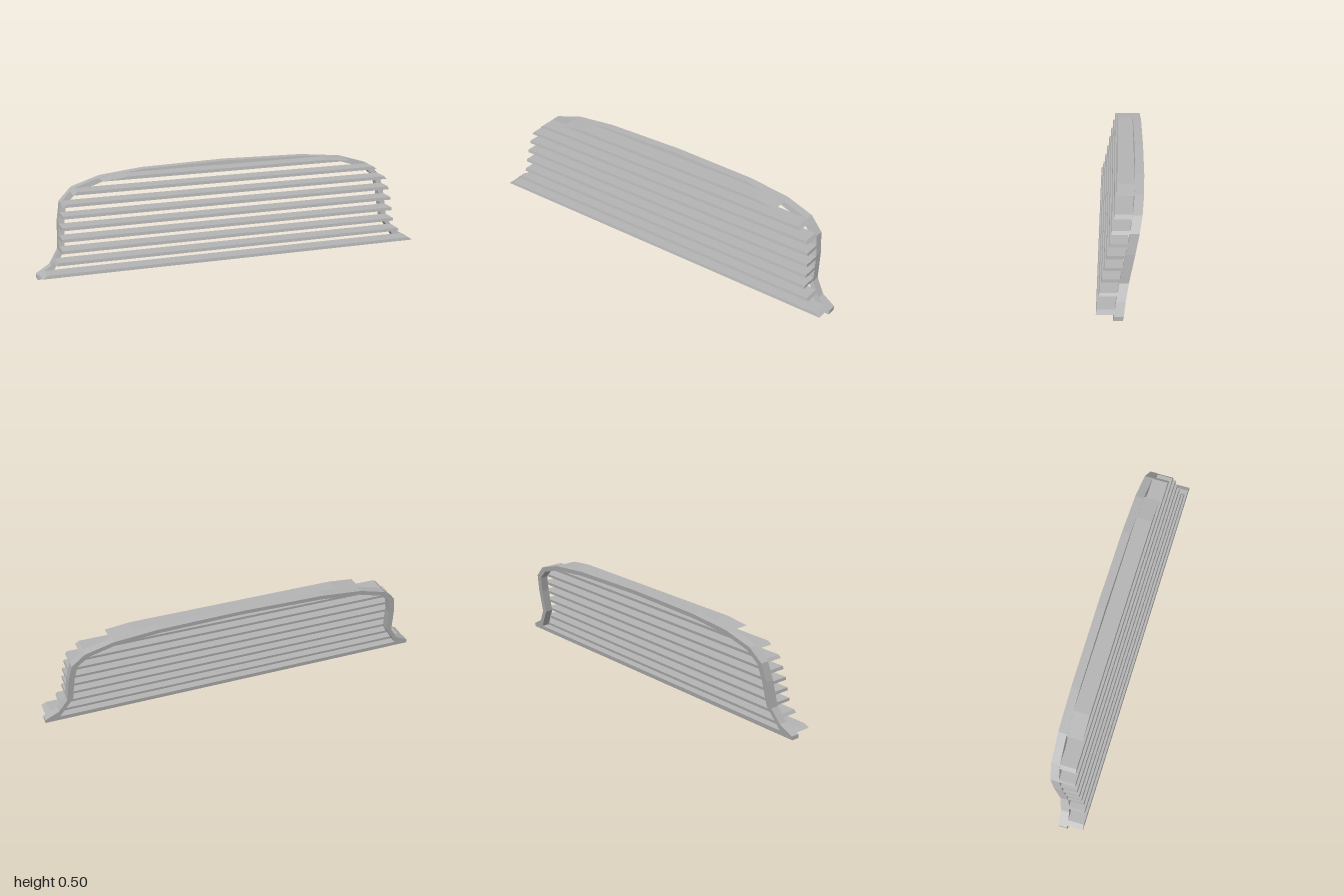
import * as THREE from 'three';

// Right half of the frame, bottom to top
const OUTER = [[1, 0], [1, 0.02], [0.93, 0.06], [0.886, 0.13], [0.877, 0.265], [0.86, 0.357],
  [0.795, 0.42], [0.65, 0.464], [0.43, 0.486], [0, 0.495]];
const INNER = [[0.925, 0.024], [0.9, 0.065], [0.857, 0.133], [0.848, 0.265], [0.832, 0.348],
  [0.775, 0.4], [0.645, 0.44], [0.43, 0.462], [0, 0.472]];
const LEAN = -0.21;

// Mirror a half outline into a closed loop
const mirrored = (half) => [...half, ...half.filter(([x]) => x > 0).reverse().map(([x, y]) => [-x, y])]
  .map(([x, y]) => new THREE.Vector2(x, y));

// Extrude between two depths, then lean the part backwards with height
function leaning(shape, back, front) {
  const geometry = new THREE.ExtrudeGeometry(shape, { depth: front - back, bevelEnabled: false });
  geometry.translate(0, 0, back);
  const p = geometry.attributes.position;
  for (let i = 0; i < p.count; i++) p.setZ(i, p.getZ(i) + LEAN * p.getY(i));
  geometry.computeVertexNormals();
  return geometry;
}

// Half width of the outer outline at a height
function halfWidth(y) {
  const i = OUTER.findIndex((point) => point[1] >= y);
  const [x0, y0] = OUTER[i - 1], [x1, y1] = OUTER[i];
  return x0 + (x1 - x0) * (y - y0) / (y1 - y0);
}

export function createModel() {
  const group = new THREE.Group();
  group.name = 'louvredGrille';
  const grey = new THREE.MeshStandardMaterial({ color: 0xb4b4b4 });
  grey.name = 'grey';

  // Surrounding frame
  const outline = new THREE.Shape(mirrored(OUTER));
  outline.holes.push(new THREE.Path(mirrored(INNER)));
  const frame = new THREE.Mesh(leaning(outline, -0.008, 0.035), grey);
  frame.name = 'frame';
  group.add(frame);

  // Horizontal slats, cut to the frame's outline
  for (let i = 0; i < 9; i++) {
    const y0 = 0.025 + i * 0.0545, y1 = y0 + 0.0148;
    const slatShape = new THREE.Shape(mirrored([[halfWidth(y0), y0], [halfWidth(y1), y1]]));
    const slat = new THREE.Mesh(leaning(slatShape, 0.031, 0.117), grey);
    slat.name = `slat${i + 1}`;
    group.add(slat);
  }
  return group;
}
